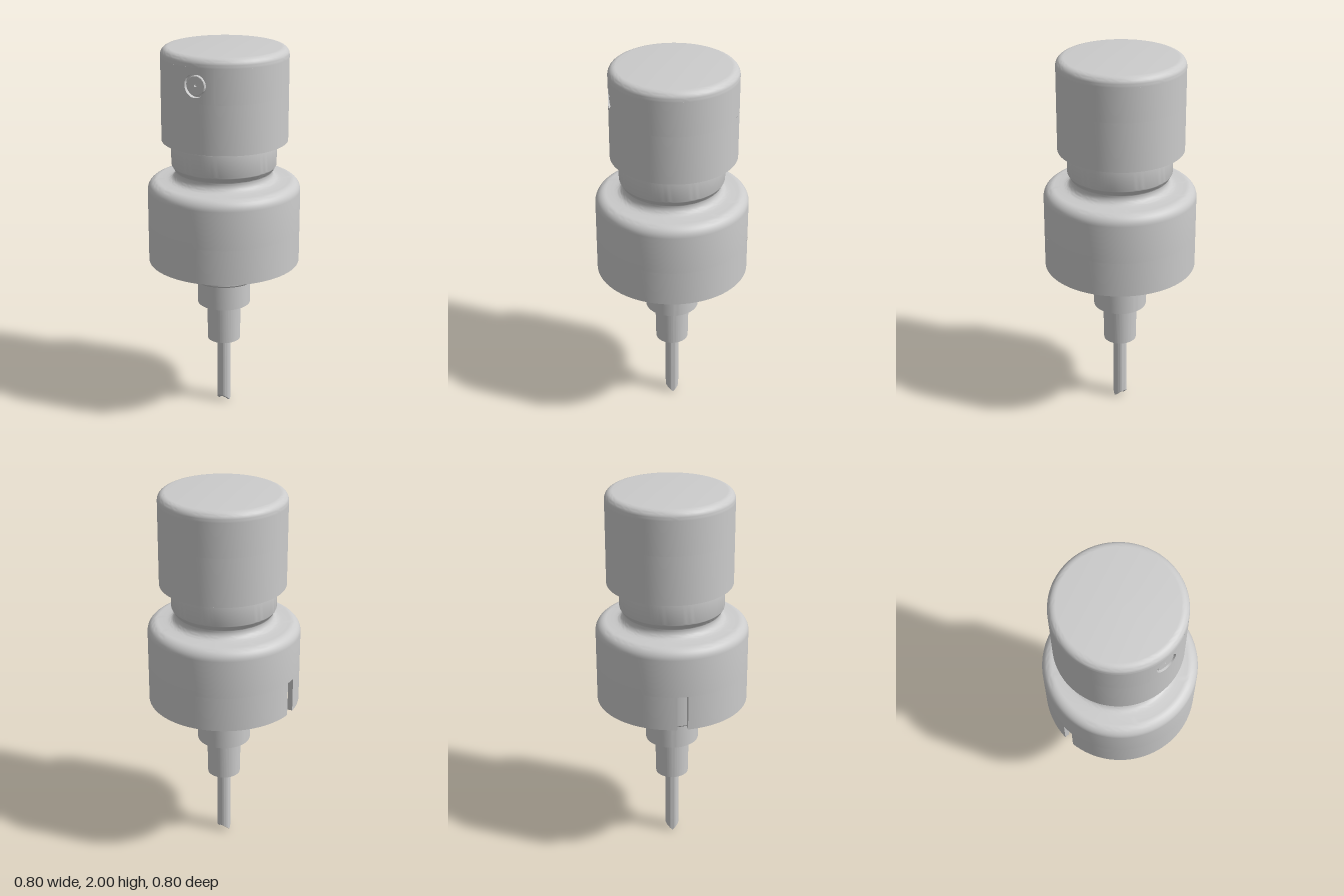
import * as THREE from 'three';
import { toCreasedNormals } from 'three/addons/utils/BufferGeometryUtils.js';
import { ParametricGeometry } from 'three/addons/geometries/ParametricGeometry.js';

const SEG = 96;
const material = new THREE.MeshStandardMaterial({ color: 0xcccccc, side: THREE.DoubleSide });

// Points along an arc, angles in degrees
function arc(cx, cy, r, from, to, steps = 8) {
  return Array.from({ length: steps + 1 }, (_, i) => {
    const a = THREE.MathUtils.degToRad(from + ((to - from) * i) / steps);
    return [cx + r * Math.cos(a), cy + r * Math.sin(a)];
  });
}

function lathe(points, start = 0, length = Math.PI * 2, segments = SEG) {
  return new THREE.LatheGeometry(points.map(([x, y]) => new THREE.Vector2(x, y)), segments, start, length);
}

// Moves each vertex by a rule
function reshape(geometry, rule) {
  const p = geometry.attributes.position;
  const v = new THREE.Vector3();
  for (let i = 0; i < p.count; i++) {
    rule(v.fromBufferAttribute(p, i));
    p.setXYZ(i, v.x, v.y, v.z);
  }
  return geometry;
}

function add(parent, name, geometry, crease = true) {
  const mesh = new THREE.Mesh(crease ? toCreasedNormals(geometry, 0.6) : geometry, material);
  mesh.name = name;
  parent.add(mesh);
  return mesh;
}

function buildButton() {
  const button = new THREE.Group();
  button.name = 'pressButton';
  button.position.z = -0.01;
  const R = 0.33, inner = 0.295, holeY = 1.86, holeR = 0.06;
  const low = 1.77, high = 1.95, half = 0.3;

  // Shell, leaving a window at the front for the nozzle panel
  add(button, 'buttonInside', lathe([[0, 1.92], [inner, 1.92], [inner, 1.512], [R, 1.512], [R, low]]));
  add(button, 'buttonWall', lathe([[R, low], [R, high]], half, Math.PI * 2 - 2 * half));
  add(button, 'buttonTop', lathe([[R, high], ...arc(R - 0.04, 1.96, 0.04, 0, 90), [0, 2]]));

  // Curved panel running from the round nozzle hole out to the window edge
  const panel = new ParametricGeometry((u, v, target) => {
    const a = u * Math.PI * 2, c = Math.cos(a), s = Math.sin(a);
    const m = Math.max(Math.abs(c), Math.abs(s));
    const angle = THREE.MathUtils.lerp(Math.asin((holeR * c) / R), (half * c) / m, v);
    const y = THREE.MathUtils.lerp(holeR * s, ((high - low) / 2) * (s / m), v);
    target.set(R * Math.sin(angle), holeY + y, R * Math.cos(angle));
  }, 64, 8);
  const n = panel.attributes.normal, p = panel.attributes.position;
  for (let i = 0; i < n.count; i++) n.setXYZ(i, p.getX(i) / R, 0, p.getZ(i) / R);
  add(button, 'nozzlePanel', panel, false);

  // Recess, nozzle insert and pinhole; the rim follows the curved wall
  const nozzle = lathe([[holeR, R], [holeR, 0.305], [0.05, 0.305], [0.05, 0.319], [0.047, 0.322],
    [0.007, 0.322], [0.007, 0.31], [0, 0.31]], 0, Math.PI * 2, 48);
  nozzle.rotateX(Math.PI / 2);
  reshape(nozzle, (v) => {
    if (v.z > 0.325) v.z = Math.sqrt(R * R - v.x * v.x);
  });
  add(button, 'nozzle', nozzle).position.y = holeY;
  return button;
}

function buildCollar() {
  const collar = new THREE.Group();
  collar.name = 'collar';
  const R = 0.402, inner = 0.375, bottom = 0.853, slotTop = 1.04;

  // Rounded shoulder, waist groove and neck
  add(collar, 'collarAndNeck', lathe([
    [0, 1.25], [inner, 1.25], [inner, slotTop], [R, slotTop],
    ...arc(R - 0.055, 1.245, 0.055, 0, 90),
    [0.305, 1.3], ...arc(0.295, 1.342, 0.04, 270, 180),
    ...arc(0.27, 1.342, 0.015, 180, 120, 3).map(([x, y]) => [x, y + 0.004]),
    ...arc(0.25, 1.39, 0.026, -50, 0, 5),
    ...arc(0.258, 1.495, 0.018, 0, 90, 5), [0, 1.513],
  ]));

  // Skirt with a narrow slot on one side
  const slotStart = Math.PI * 1.5, slotWidth = 0.14;
  add(collar, 'skirt', lathe([[inner, slotTop], [inner, bottom], [R, bottom], [R, slotTop]],
    slotStart + slotWidth, Math.PI * 2 - slotWidth));
  for (const a of [slotStart, slotStart + slotWidth]) {
    const side = new THREE.PlaneGeometry(R - inner, slotTop - bottom);
    side.translate((R + inner) / 2, (slotTop + bottom) / 2, 0).rotateY(a - Math.PI / 2);
    add(collar, 'slotSide', side);
  }
  return collar;
}

export function createModel() {
  const model = new THREE.Group();
  model.name = 'sprayPump';
  model.add(buildButton(), buildCollar());

  // Stem between neck and button
  add(model, 'stem', new THREE.CylinderGeometry(0.095, 0.095, 0.43, 48).translate(0, 1.715, 0));

  // Stepped pump housing, open at the lower end
  add(model, 'pumpHousing', lathe([
    [0, 0.5], [0.07, 0.5], [0.07, 0.382], [0.088, 0.382], [0.092, 0.6],
    [0.142, 0.6], [0.142, 0.748], [0.182, 0.748], [0.192, 0.758], [0.192, 1.25],
  ]));

  // Dip tube with its end cut to a V
  const tube = lathe([[0.022, 0.5], [0.022, 0], [0.036, 0], [0.036, 0.5]], 0, Math.PI * 2, 48);
  reshape(tube, (v) => {
    if (v.y < 0.01) v.y = Math.abs(v.z);
  });
  add(model, 'dipTube', tube);
  return model;
}
